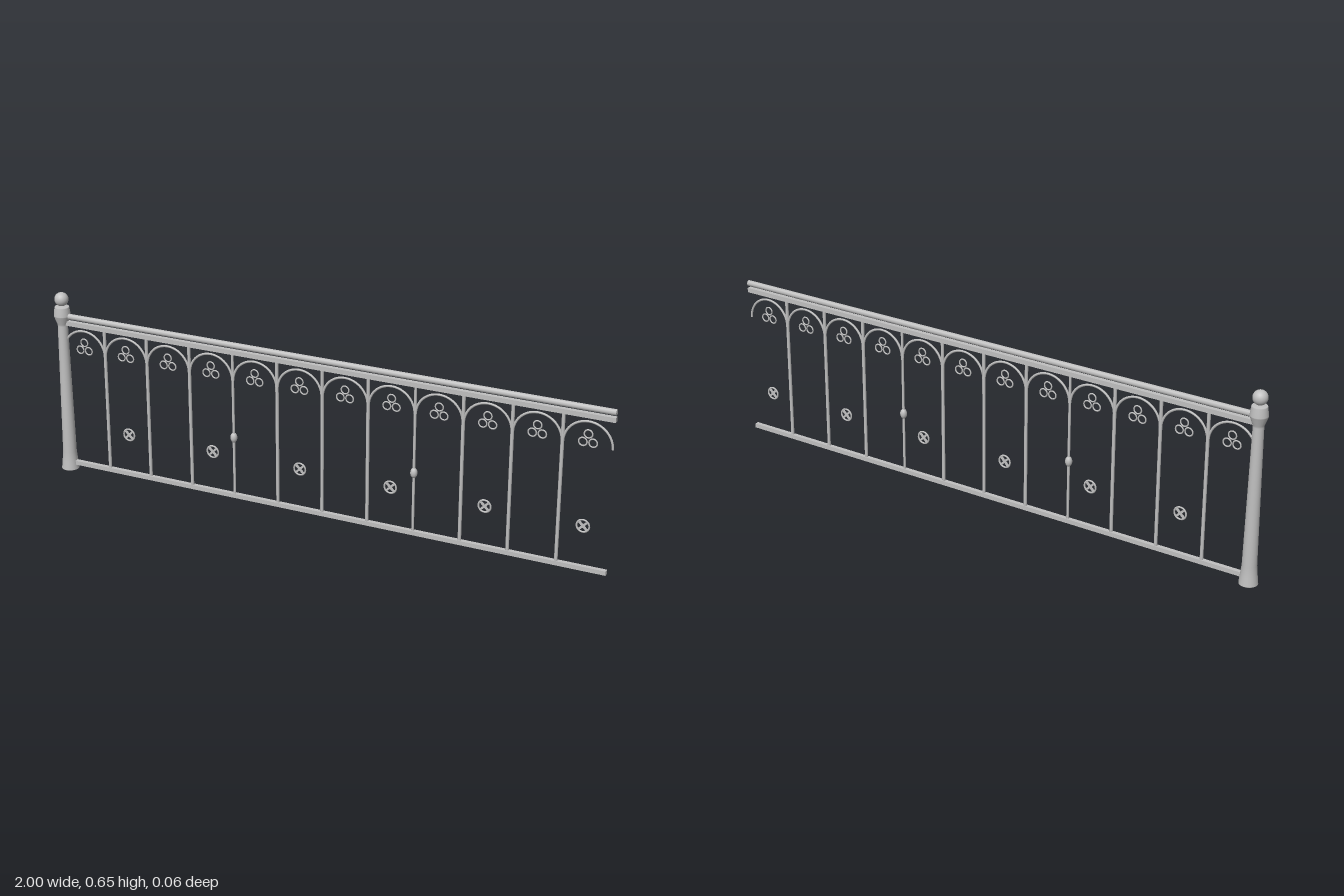
import * as THREE from 'three';

const metal = new THREE.MeshStandardMaterial({ color: 0xc0c0c0 });
metal.name = 'light grey iron';

const PITCH = 0.1637; // spacing of the balusters
const POST_X = -0.969;
const FIRST_X = -0.804;
const BALUSTERS = 11;

function add(parent, name, geometry, x = 0, y = 0, z = 0) {
  const mesh = new THREE.Mesh(geometry, metal);
  mesh.name = name;
  mesh.position.set(x, y, z);
  parent.add(mesh);
  return mesh;
}

function endPost() {
  const post = new THREE.Group();
  post.name = 'endPost';
  const profile = [
    [0, 0], [0.031, 0], [0.031, 0.001], [0.0275, 0.03], [0.024, 0.065], [0.0175, 0.535],
    [0.0185, 0.542], [0.029, 0.57], [0.029, 0.573], [0.0255, 0.601], [0.024, 0.604], [0, 0.606],
  ].map(([r, y]) => new THREE.Vector2(r, y));
  add(post, 'postShaft', new THREE.LatheGeometry(profile, 20));
  add(post, 'postBall', new THREE.SphereGeometry(0.0242, 20, 14), 0, 0.63);
  post.position.x = POST_X;
  return post;
}

// Three touching rings under each arch
function trefoil() {
  const group = new THREE.Group();
  group.name = 'trefoil';
  const ring = new THREE.TorusGeometry(0.0135, 0.0026, 6, 18);
  for (const [x, y] of [[0, 0.484], [-0.0165, 0.456], [0.0165, 0.456]]) {
    add(group, 'trefoilRing', ring, x, y);
  }
  return group;
}

// Small wheel with a diagonal cross
function rosette() {
  const group = new THREE.Group();
  group.name = 'rosette';
  add(group, 'rosetteRing', new THREE.TorusGeometry(0.021, 0.0032, 6, 20));
  for (const turn of [1, -1]) {
    const spoke = add(group, 'rosetteSpoke', new THREE.BoxGeometry(0.042, 0.007, 0.005));
    spoke.rotation.z = turn * Math.PI / 4;
  }
  group.position.y = 0.171;
  return group;
}

export function createModel() {
  const model = new THREE.Group();
  model.name = 'railing';
  model.add(endPost());

  // Long rails
  const length = 1 - POST_X;
  const midX = (1 + POST_X) / 2;
  const handrail = add(model, 'handrail', new THREE.CylinderGeometry(0.0105, 0.0105, length, 8), midX, 0.571);
  handrail.rotation.z = Math.PI / 2;
  add(model, 'upperRail', new THREE.BoxGeometry(length, 0.016, 0.016), midX, 0.547);
  add(model, 'lowerRail', new THREE.BoxGeometry(length, 0.015, 0.015), midX, 0.025);

  // Balusters, two of them thinner with a knob
  const bar = new THREE.CylinderGeometry(0.0058, 0.0058, 0.52, 10);
  const thinBar = new THREE.CylinderGeometry(0.0045, 0.0045, 0.52, 10);
  const knob = new THREE.SphereGeometry(0.012, 12, 10).scale(1, 1.5, 1);
  for (let i = 0; i < BALUSTERS; i++) {
    const x = FIRST_X + i * PITCH;
    const knobbed = i === 3 || i === 7;
    add(model, 'baluster', knobbed ? thinBar : bar, x, 0.286);
    if (knobbed) add(model, 'balusterKnob', knob, x, 0.239);
  }

  // Arch and ornaments of each panel
  const arch = new THREE.TorusGeometry(0.0797, 0.004, 6, 24, Math.PI);
  for (let i = 0; i <= BALUSTERS; i++) {
    const panel = new THREE.Group();
    panel.name = 'panel';
    panel.position.x = FIRST_X + (i - 0.5) * PITCH;
    add(panel, 'arch', arch, 0, 0.446);
    panel.add(trefoil());
    if (i % 2 === 1) panel.add(rosette());
    model.add(panel);
  }
  return model;
}
